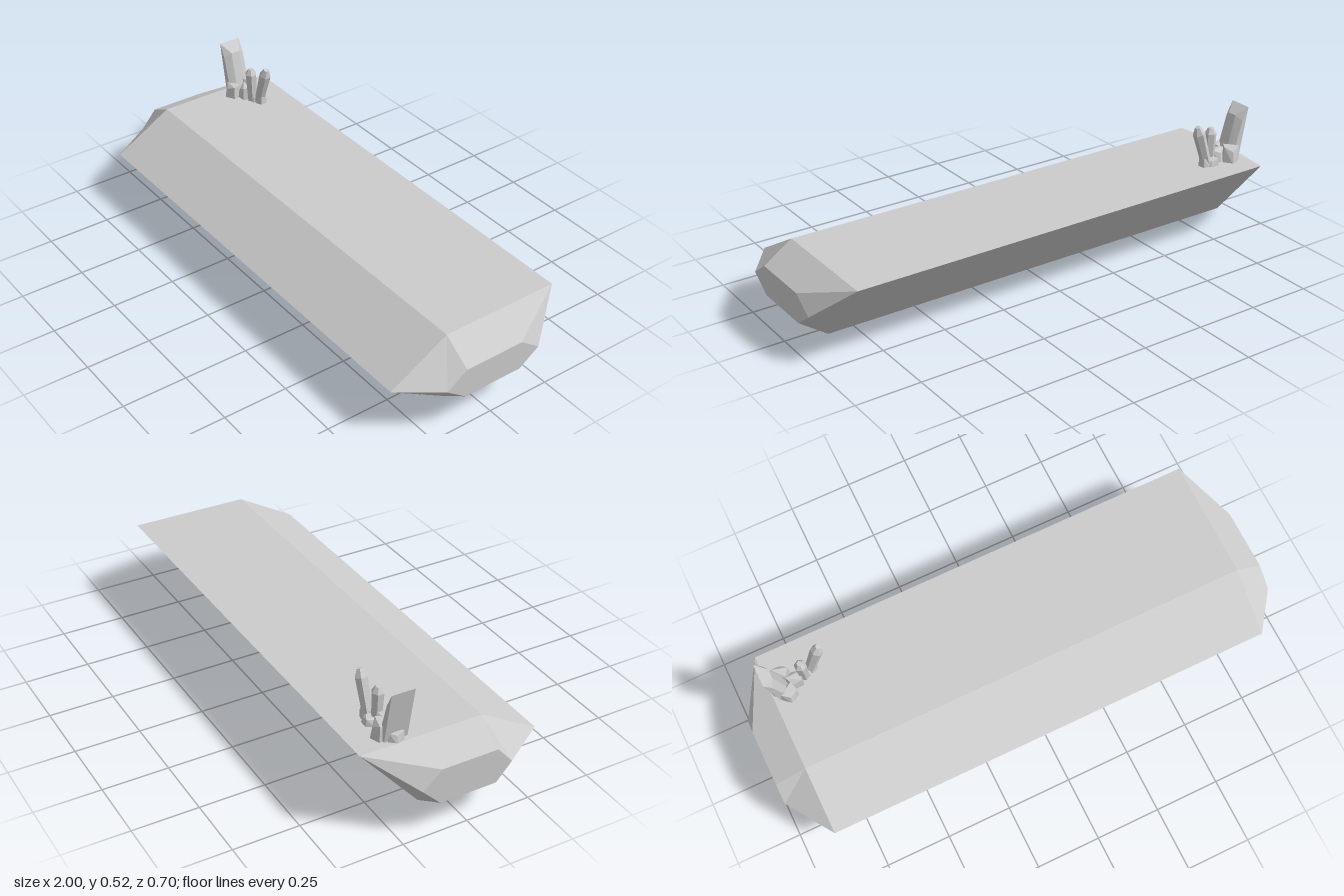
import * as THREE from 'three';
import { ConvexGeometry } from 'three/addons/geometries/ConvexGeometry.js';

const grey = new THREE.MeshStandardMaterial({ color: 0xcccccc, flatShading: true });

function add(group, name, geometry) {
  const mesh = new THREE.Mesh(geometry, grey);
  mesh.name = name;
  group.add(mesh);
  return mesh;
}

// Faceted solid around a few corner points
function hull(group, name, points) {
  return add(group, name, new ConvexGeometry(points.map(p => new THREE.Vector3(...p))));
}

// Loft hexagonal sections given as [z, y] loops, ordered along x
function loft(sections) {
  const pos = [];
  const put = (...pts) => pts.forEach(p => pos.push(...p));
  const rings = sections.map(s => s.loop.map(([z, y]) => [s.x, y, z]));
  for (let k = 0; k < rings.length - 1; k++) {
    const a = rings[k], b = rings[k + 1];
    for (let i = 0; i < 6; i++) {
      const j = (i + 1) % 6;
      if (k === rings.length - 2) put(a[i], b[i], a[j], b[i], b[j], a[j]);
      else put(a[i], b[i], b[j], a[i], b[j], a[j]);
    }
  }
  const first = rings[0], last = rings[rings.length - 1];
  for (let i = 1; i < 5; i++) {
    put(first[0], first[i], first[i + 1]);
    put(last[0], last[i + 1], last[i]);
  }
  const g = new THREE.BufferGeometry();
  g.setAttribute('position', new THREE.Float32BufferAttribute(pos, 3));
  g.computeVertexNormals();
  return g;
}

// Six-sided crystal with a short pointed tip, running from base to top
function crystal(group, name, base, top, radius, tip) {
  const a = new THREE.Vector3(...base), b = new THREE.Vector3(...top);
  const len = a.distanceTo(b);
  const profile = [[0, 0], [radius * 0.8, 0], [radius, len - tip], [radius * 0.45, len], [0, len]]
    .map(p => new THREE.Vector2(...p));
  const mesh = add(group, name, new THREE.LatheGeometry(profile, 6));
  mesh.position.copy(a);
  mesh.quaternion.setFromUnitVectors(new THREE.Vector3(0, 1, 0), b.sub(a).normalize());
}

// Irregular base rock: wide ring at the bottom, smaller ring at the top
function baseRock(group, name, x, z, r, height, sides, turn) {
  const pts = [];
  for (let i = 0; i < sides; i++) {
    const t = turn + i * Math.PI * 2 / sides;
    const s = i % 2 ? 0.72 : 0.9;
    pts.push([x + r * Math.cos(t), 0.31, z + r * Math.sin(t)]);
    pts.push([x + r * s * Math.cos(t), 0.32 + height * (i % 2 ? 0.7 : 1), z + r * s * Math.sin(t)]);
  }
  hull(group, name, pts);
}

export function createModel() {
  const model = new THREE.Group();
  model.name = 'crystalSlab';

  // Long slab with chamfered ends and an overhanging rear edge
  const main = [[0.35, 0.188], [0.12, 0.32], [-0.12, 0.32], [-0.35, 0.32], [-0.12, 0.052], [0.12, 0.052]];
  const right = [[0.17, 0.188], [0.11, 0.257], [-0.11, 0.257], [-0.18, 0.19], [-0.11, 0.12], [0.11, 0.12]];
  const left = [[0.2, 0.188], [0.12, 0.245], [-0.12, 0.245], [-0.2, 0.188], [-0.12, 0.13], [0.12, 0.13]];
  add(model, 'slab', loft([
    { x: -1, loop: right }, { x: -0.88, loop: main }, { x: 0.89, loop: main }, { x: 1, loop: left },
  ]));

  // Crystal cluster on top
  const cluster = new THREE.Group();
  cluster.name = 'crystalCluster';
  model.add(cluster);
  const big = [];
  for (const s of [-1, 1]) {
    big.push([-0.855, 0.31, -0.2 + s * 0.045], [-0.805, 0.31, -0.2 + s * 0.022],
      [-0.895, 0.526, -0.2 + s * 0.045], [-0.868, 0.475, -0.2 + s * 0.045],
      [-0.853, 0.493, -0.2 + s * 0.018], [-0.82, 0.31, -0.2 + s * 0.045]);
  }
  hull(cluster, 'largeCrystal', big);
  crystal(cluster, 'middleCrystal', [-0.742, 0.31, -0.205], [-0.745, 0.462, -0.202], 0.024, 0.022);
  crystal(cluster, 'leaningCrystal', [-0.72, 0.31, -0.22], [-0.66, 0.49, -0.222], 0.024, 0.03);

  // Rocks around the crystal roots
  baseRock(cluster, 'frontRock', -0.82, -0.162, 0.036, 0.05, 5, 0.4);
  baseRock(cluster, 'backRock', -0.82, -0.238, 0.036, 0.062, 5, 1.2);
  baseRock(cluster, 'outerRock', -0.85, -0.2, 0.034, 0.035, 6, 0.2);
  baseRock(cluster, 'innerRock', -0.78, -0.2, 0.036, 0.05, 5, 0.9);
  baseRock(cluster, 'smallRock', -0.735, -0.222, 0.035, 0.028, 6, 0);
  baseRock(cluster, 'edgeRock', -0.705, -0.222, 0.024, 0.036, 5, 0.5);

  // Rocks hanging under the slab
  hull(model, 'undersideRock', [
    [0.5, 0.06, 0.1], [0.52, 0.06, -0.02], [0.86, 0.06, -0.03], [0.89, 0.06, 0.04], [0.84, 0.06, 0.11],
    [0.53, 0.032, 0.09], [0.54, 0.035, 0.0], [0.76, 0.02, 0.1], [0.77, 0.02, -0.02],
    [0.83, 0.03, -0.025], [0.86, 0.04, 0.06],
  ]);
  hull(model, 'undersideStone', [
    [0.4, 0.06, 0.1], [0.4, 0.06, 0.03], [0.53, 0.06, 0.02], [0.53, 0.06, 0.11],
    [0.41, 0.016, 0.095], [0.42, 0.002, 0.078], [0.43, 0.012, 0.025],
    [0.52, 0.02, 0.025], [0.52, 0.02, 0.105],
  ]);
  hull(model, 'frontSlopeRock', [
    [0.64, 0.08, 0.155], [0.69, 0.117, 0.235], [0.84, 0.119, 0.237], [0.89, 0.105, 0.215],
    [0.86, 0.065, 0.14], [0.68, 0.056, 0.135], [0.67, 0.07, 0.212], [0.82, 0.07, 0.212],
    [0.71, 0.052, 0.172], [0.8, 0.052, 0.165],
  ]);
  return model;
}
